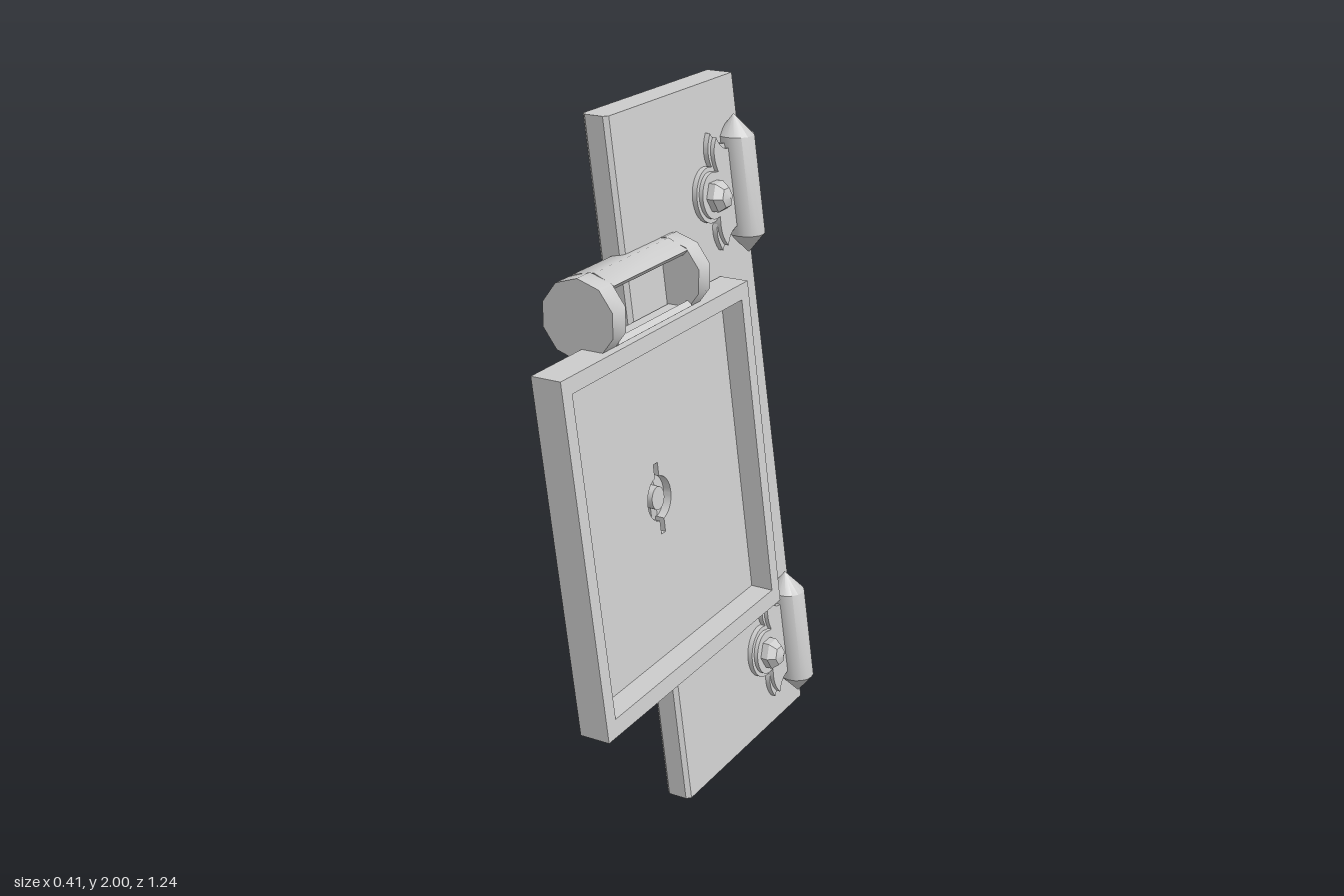
import * as THREE from 'three';
import { toCreasedNormals } from 'three/addons/utils/BufferGeometryUtils.js';

const material = new THREE.MeshStandardMaterial({ color: 0xcccccc });
const LEAN = 0.13, FOOT = 0.095;

// Moves every vertex by a rule
function warp(geo, rule) {
  const p = geo.attributes.position;
  const v = new THREE.Vector3();
  for (let i = 0; i < p.count; i++) {
    rule(v.fromBufferAttribute(p, i));
    p.setXYZ(i, v.x, v.y, v.z);
  }
  return geo;
}

// Leans geometry sideways with height; local x is the distance from the plate's middle
const lean = (geo) => warp(geo, (v) => { v.x += FOOT - LEAN * v.y; });

function add(parent, name, geo, crease = 0.7) {
  const mesh = new THREE.Mesh(toCreasedNormals(geo, crease), material);
  mesh.name = name;
  parent.add(mesh);
  return mesh;
}

// Shape drawn in (-z, y), extruded along x from x0 to x1
function slab(shape, x0, x1, curveSegments = 12) {
  const geo = new THREE.ExtrudeGeometry(shape, { depth: x1 - x0, bevelEnabled: false, curveSegments });
  return geo.rotateY(Math.PI / 2).translate(x0, 0, 0);
}

function rect(u0, y0, u1, y1) {
  return [[u0, y0], [u1, y0], [u1, y1], [u0, y1]].map(([u, y]) => new THREE.Vector2(u, y));
}

function disc(u, y, r) {
  const s = new THREE.Shape();
  s.absarc(u, y, r, 0, Math.PI * 2);
  return s;
}

// Round hole with a slot above and below
function keyhole(u, y, r, w, h) {
  const p = new THREE.Path();
  const d = Math.asin(w / r), q = Math.PI / 2;
  p.absarc(u, y, r, -q + d, q - d);
  p.lineTo(u + w, y + h);
  p.lineTo(u - w, y + h);
  p.absarc(u, y, r, q + d, 3 * q - d);
  p.lineTo(u - w, y - h);
  p.lineTo(u + w, y - h);
  p.closePath();
  return p;
}

function makePlate(root) {
  // Chamfered front edge, back edge tapering towards the top
  const c = 0.012;
  const section = new THREE.Shape([
    [-0.04, -0.12 + c], [-0.04 + c, -0.12], [0.04 - c, -0.12], [0.04, -0.12 + c], [0.04, 0.615], [-0.04, 0.615],
  ].map(([x, v]) => new THREE.Vector2(x, v)));
  const geo = new THREE.ExtrudeGeometry(section, { depth: 2, bevelEnabled: false }).rotateX(-Math.PI / 2);
  warp(geo, (v) => { if (v.z < 0) v.z += 0.02 * v.y; });
  add(root, 'leaningPlate', lean(geo), 0.3);
}

function makePanel(root) {
  const panel = new THREE.Group();
  panel.name = 'framedPanel';
  root.add(panel);
  const u = -0.123, y = 0.945;

  const rim = new THREE.Shape(rect(-0.62, 0.45, 0.38, 1.445));
  rim.holes.push(new THREE.Path(rect(-0.575, 0.5, 0.335, 1.4)));
  add(panel, 'panelRim', lean(slab(rim, 0.044, 0.133)));

  const floor = new THREE.Shape(rect(-0.58, 0.495, 0.34, 1.405));
  floor.holes.push(keyhole(u, y, 0.063, 0.011, 0.102));
  add(panel, 'panelFloor', lean(slab(floor, 0.044, 0.064)));

  // Lock barrel behind the floor
  const barrel = disc(u, y, 0.105);
  barrel.holes.push(keyhole(u, y, 0.063, 0.011, 0.102));
  add(panel, 'lockBarrel', lean(slab(barrel, 0.01, 0.044)));
  const cap = new THREE.CylinderGeometry(0.105, 0.09, 0.045, 24).rotateZ(-Math.PI / 2).translate(-0.0125, y, -u);
  add(panel, 'lockBarrelCap', lean(cap));
  add(panel, 'lockHub', lean(slab(disc(u, y, 0.033), 0.005, 0.06)));
}

function makeHandle(root) {
  const handle = new THREE.Group();
  handle.name = 'handle';
  root.add(handle);
  const cx = -0.06, cy = 1.523, r = 0.113, inner = 0.093;

  // Hollow middle, open towards +x
  const a0 = 0.87, a1 = Math.PI * 2 - 0.68, n = 8, pts = [];
  const at = (rad, i) => {
    const a = a0 + (a1 - a0) * i / n;
    return new THREE.Vector2(cx + rad * Math.cos(a), cy + rad * Math.sin(a));
  };
  for (let i = 0; i <= n; i++) pts.push(at(r, i));
  for (let i = n; i >= 0; i--) pts.push(at(inner, i));
  const shell = new THREE.ExtrudeGeometry(new THREE.Shape(pts), { depth: 0.39, bevelEnabled: false });
  add(handle, 'handleShell', shell.translate(0, 0, -0.075), 0.8);

  for (const z of [-0.1075, 0.3475]) {
    const end = new THREE.CylinderGeometry(r, r, 0.065, 10).rotateX(Math.PI / 2).translate(cx, cy, z);
    add(handle, 'handleEnd', end, 0.8);
  }
}

// Bell-shaped leaf outline around the bolt; grow < 0 gives the inset raised face
function leafShape(u, y, grow) {
  const s = new THREE.Shape();
  const r = 0.08 + grow;
  s.moveTo(u + 0.15, y - 0.13 - grow);
  s.lineTo(u + 0.15, y + 0.13 + grow);
  s.quadraticCurveTo(u + 0.075, y + 0.115 + grow, u + 0.035 - grow, y + 0.17 + grow);
  s.quadraticCurveTo(u - 0.005 - grow, y + 0.12, u + 0.025 - grow, y + r * 0.92);
  s.absarc(u, y, r, 1.25, Math.PI * 2 - 1.25);
  s.quadraticCurveTo(u - 0.005 - grow, y - 0.12, u + 0.035 - grow, y - 0.17 - grow);
  s.quadraticCurveTo(u + 0.075, y - 0.115 - grow, u + 0.15, y - 0.13 - grow);
  return s;
}

function makeHinge(root, name, y, zPin) {
  const hinge = new THREE.Group();
  hinge.name = name;
  root.add(hinge);
  const tilt = (geo) => lean(warp(geo, (v) => { v.z += 0.02 * (v.y - y); }));

  // Pin with pointed ends
  const profile = [[0, -0.205], [0.055, -0.145], [0.055, 0.145], [0, 0.205]].map(([a, b]) => new THREE.Vector2(a, b));
  add(hinge, 'hingePin', tilt(new THREE.LatheGeometry(profile, 16).translate(0.066, y, zPin)));

  // Leaf in two steps, giving a narrow border
  const u = -zPin - 0.165;
  add(hinge, 'hingeLeaf', tilt(slab(leafShape(u, y, 0), 0.03, 0.055)));
  add(hinge, 'hingeLeafFace', tilt(slab(leafShape(u, y, -0.013), 0.03, 0.067)));

  // Pointed six-sided bolt
  const bolt = [[0.047, 0], [0.047, 0.028], [0.03, 0.05], [0, 0.06]].map(([a, b]) => new THREE.Vector2(a, b));
  const boltGeo = new THREE.LatheGeometry(bolt, 6).rotateZ(-Math.PI / 2).translate(0.06, y, -u);
  add(hinge, 'hingeBolt', tilt(boltGeo), 0.4);
}

export function createModel() {
  const root = new THREE.Group();
  root.name = 'hingedPlate';
  makePlate(root);
  makePanel(root);
  makeHandle(root);
  makeHinge(root, 'upperHinge', 1.69, -0.52);
  makeHinge(root, 'lowerHinge', 0.258, -0.55);
  return root;
}
